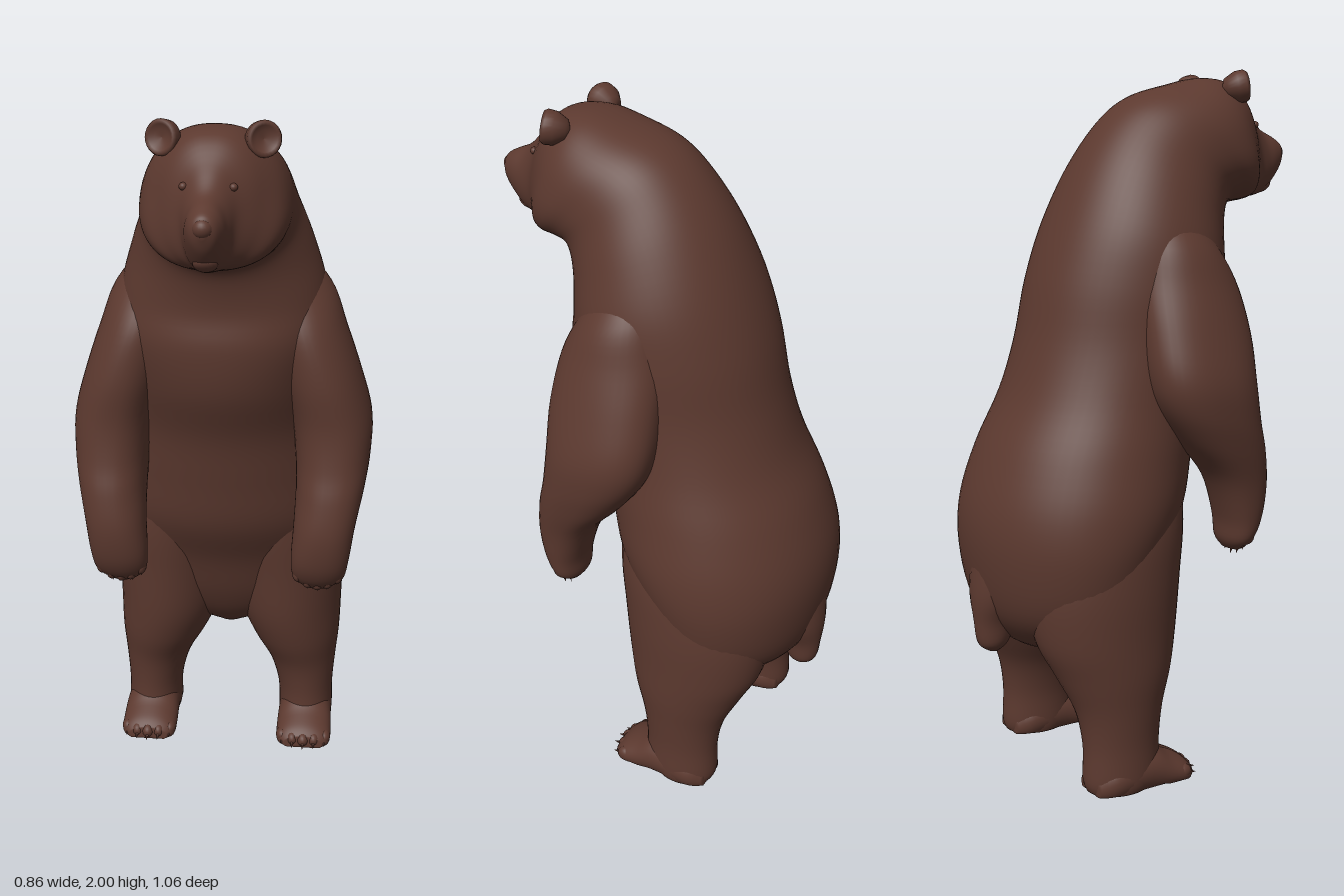
import * as THREE from 'three';

const fur = new THREE.MeshStandardMaterial({ color: 0x5c392f });
fur.name = 'brown fur';

// Smooth closed skin through rings. A ring is [centre x, front y, front z, back y, back z,
// half width, widening towards the front (0), roundness (1 = ellipse, less = boxier)]
function loft(shortRings, { n = 40, steps = 5, side = 1, floor = -1 } = {}) {
  const rings = shortRings.map((r) => [...r, ...[0, 1].slice(r.length - 6)]);
  const at = (i) => rings[Math.min(Math.max(i, 0), rings.length - 1)];
  const all = [];
  for (let i = 0; i < rings.length - 1; i++) {
    for (let s = 0; s < steps; s++) {
      const t = s / steps;
      all.push(rings[i].map((b, k) => {
        const a = at(i - 1)[k], c = at(i + 1)[k], d = at(i + 2)[k];
        return 0.5 * (2 * b + (c - a) * t + (2 * a - 5 * b + 4 * c - d) * t * t + (3 * b - a - 3 * c + d) * t ** 3);
      }));
    }
  }
  all.push(at(rings.length));
  const pos = [], index = [];
  const bend = (v, p) => Math.sign(v) * Math.abs(v) ** p;
  for (const [x, yf, zf, yb, zb, w, k, p] of all) {
    for (let j = 0; j < n; j++) {
      const a = (j / n) * Math.PI * 2, c = bend(Math.cos(a), p), s = bend(Math.sin(a), p);
      pos.push(side * x + w * c * (1 + k * s),
        Math.max(floor, (yf + yb) / 2 + s * (yf - yb) / 2),
        (zf + zb) / 2 + s * (zf - zb) / 2);
    }
  }
  for (let i = 0; i < all.length - 1; i++) {
    for (let j = 0; j < n; j++) {
      const a = i * n + j, b = i * n + (j + 1) % n;
      index.push(a, a + n, b, b, a + n, b + n);
    }
  }
  // end caps
  const last = (all.length - 1) * n, tip = pos.length / 3;
  for (const r of [all[0], all[all.length - 1]]) {
    pos.push(side * r[0], Math.max(floor, (r[1] + r[3]) / 2), (r[2] + r[4]) / 2);
  }
  for (let j = 0; j < n; j++) {
    const k = (j + 1) % n;
    index.push(tip, j, k, tip + 1, last + k, last + j);
  }
  const g = new THREE.BufferGeometry();
  g.setAttribute('position', new THREE.Float32BufferAttribute(pos, 3));
  g.setIndex(index);
  g.computeVertexNormals();
  return g;
}

export function createModel() {
  const bear = new THREE.Group();
  bear.name = 'standingBear';
  const add = (name, geometry, p = [0, 0, 0], r = [0, 0, 0], s = [1, 1, 1]) => {
    const m = new THREE.Mesh(geometry, fur);
    m.name = name;
    m.position.set(...p);
    m.rotation.set(...r);
    m.scale.set(...s);
    bear.add(m);
  };
  const ball = new THREE.SphereGeometry(1, 20, 14);
  const claw = new THREE.ConeGeometry(0.008, 0.035, 8);

  // Trunk, neck, head and muzzle in one skin
  add('bodyAndHead', loft([
    [0, 0.355, -0.17, 0.37, -0.33, 0.06],
    [0, 0.42, -0.09, 0.41, -0.42, 0.20],
    [0, 0.52, -0.03, 0.51, -0.495, 0.31],
    [0, 0.66, 0.025, 0.66, -0.527, 0.352],
    [0, 0.80, 0.095, 0.80, -0.523, 0.36],
    [0, 0.95, 0.13, 0.95, -0.475, 0.335],
    [0, 1.10, 0.165, 1.10, -0.402, 0.305],
    [0, 1.25, 0.225, 1.25, -0.355, 0.295, 0.03],
    [0, 1.38, 0.245, 1.42, -0.315, 0.297, 0.08, 0.96],
    [0, 1.48, 0.235, 1.58, -0.258, 0.285, 0.08, 0.96],
    [0, 1.57, 0.25, 1.74, -0.18, 0.248, 0.05],
    [0, 1.615, 0.275, 1.86, -0.09, 0.215, 0.03],
    [0, 1.625, 0.305, 1.925, 0.0, 0.203, 0.03, 0.94],
    [0, 1.63, 0.335, 1.96, 0.12, 0.196, 0.04, 0.88],
    [0, 1.635, 0.36, 1.98, 0.22, 0.172, 0.04, 0.85],
    [0, 1.64, 0.385, 1.965, 0.31, 0.122, 0, 0.85],
    [0, 1.645, 0.42, 1.90, 0.375, 0.074, 0, 0.92],
    [0, 1.655, 0.45, 1.845, 0.43, 0.057],
    [0, 1.68, 0.478, 1.82, 0.48, 0.047, -0.1],
    [0, 1.715, 0.505, 1.80, 0.512, 0.032, -0.1],
    [0, 1.75, 0.52, 1.77, 0.522, 0.008],
  ], { n: 64 }));

  add('nose', ball, [0, 1.772, 0.505], [0.3, 0, 0], [0.026, 0.025, 0.024]);
  add('chin', ball, [0, 1.675, 0.452], [-0.5, 0, 0], [0.032, 0.02, 0.033]);

  add('tail', loft([
    [0, 0.38, -0.455, 0.38, -0.485, 0.015],
    [0, 0.41, -0.425, 0.405, -0.515, 0.042],
    [0, 0.48, -0.40, 0.47, -0.525, 0.056],
    [0, 0.56, -0.40, 0.56, -0.53, 0.085],
    [0, 0.70, -0.40, 0.70, -0.515, 0.09],
  ], { n: 24 }));

  // Cupped ear, opening forwards
  const earShape = new THREE.LatheGeometry([
    [0, -0.06], [0.028, -0.05], [0.044, -0.02], [0.046, 0.004],
    [0.041, 0.013], [0.033, 0.008], [0.02, 0.001], [0, -0.002],
  ].map(([x, y]) => new THREE.Vector2(x, y)), 24);

  for (const side of [1, -1]) {
    const label = side > 0 ? 'left' : 'right';

    add(label + 'Ear', earShape, [side * 0.128, 1.953, 0.285], [Math.PI / 2 - 0.15, 0, -side * 0.4]);
    add(label + 'Eye', ball, [side * 0.062, 1.85, 0.382], [0, 0, 0], [0.011, 0.01, 0.011]);

    // Arm, from paw up to a shoulder that sinks into the chest
    add(label + 'Arm', loft([
      [0.285, 0.655, 0.165, 0.66, 0.13, 0.035],
      [0.288, 0.69, 0.20, 0.69, 0.112, 0.072],
      [0.292, 0.75, 0.225, 0.76, 0.102, 0.083, 0, 0.92],
      [0.302, 0.84, 0.235, 0.88, 0.055, 0.088, 0, 0.88],
      [0.314, 0.94, 0.222, 0.99, -0.04, 0.098, 0, 0.86],
      [0.318, 1.03, 0.2, 1.09, -0.11, 0.108, 0, 0.86],
      [0.31, 1.14, 0.188, 1.18, -0.135, 0.115, 0, 0.88],
      [0.276, 1.27, 0.193, 1.3, -0.135, 0.114, 0, 0.92],
      [0.235, 1.4, 0.18, 1.42, -0.125, 0.112],
      [0.2, 1.5, 0.14, 1.54, -0.1, 0.104],
      [0.15, 1.61, 0.09, 1.64, -0.05, 0.065],
    ], { side }));

    // Thigh and shin, the thigh running up into the hip
    add(label + 'Leg', loft([
      [0.25, 0.005, -0.11, 0.005, -0.305, 0.078],
      [0.25, 0.04, -0.085, 0.04, -0.315, 0.086],
      [0.247, 0.14, -0.083, 0.14, -0.313, 0.088],
      [0.236, 0.24, -0.067, 0.24, -0.33, 0.106],
      [0.212, 0.34, -0.03, 0.34, -0.375, 0.139],
      [0.19, 0.45, -0.003, 0.45, -0.425, 0.164],
      [0.18, 0.6, 0.016, 0.6, -0.44, 0.175],
      [0.17, 0.75, 0.035, 0.75, -0.41, 0.17],
      [0.15, 0.9, 0.04, 0.9, -0.35, 0.14],
      [0.13, 1.0, 0.02, 1.0, -0.3, 0.1],
    ], { side }));

    // Flat-soled foot, from heel to toes
    add(label + 'Foot', loft([
      [0.25, -0.02, -0.3, 0.06, -0.3, 0.05],
      [0.25, -0.03, -0.25, 0.11, -0.25, 0.083],
      [0.25, -0.03, -0.14, 0.13, -0.14, 0.085],
      [0.25, -0.03, -0.07, 0.09, -0.07, 0.087],
      [0.25, -0.025, -0.02, 0.062, -0.02, 0.084],
      [0.25, -0.01, 0.008, 0.04, 0.005, 0.06],
    ], { side, floor: 0.004 }));

    // Five toes and fingers, each with a claw
    for (let i = -2; i <= 2; i++) {
      const bow = 0.006 * i * i;
      const toeX = side * 0.25 + i * 0.034, fingerX = side * 0.287 + i * 0.028;
      add(label + 'Toe', ball, [toeX, 0.026, -0.008 - bow], [0, 0, 0], [0.019, 0.022, 0.026]);
      add(label + 'ToeClaw', claw, [toeX, 0.018, 0.02 - bow], [1.8, 0, 0]);
      add(label + 'Finger', ball, [fingerX, 0.678 + bow, 0.16], [0.3, 0, 0], [0.018, 0.026, 0.028]);
      add(label + 'FingerClaw', claw, [fingerX, 0.654 + bow, 0.152], [Math.PI + 0.3, 0, 0]);
    }
  }
  return bear;
}
